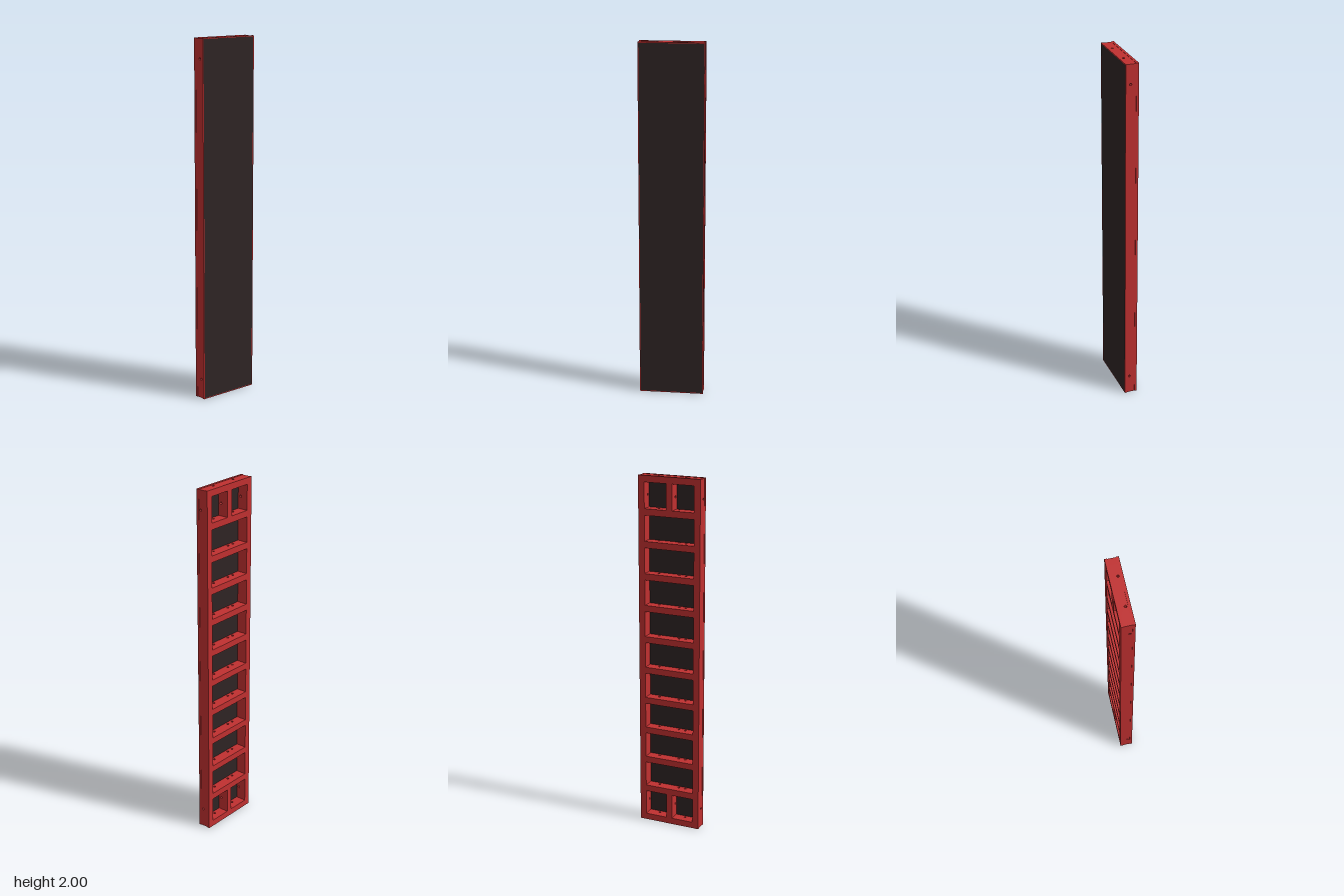
import * as THREE from 'three';

export function createModel() {
  const model = new THREE.Group();
  const red = new THREE.MeshStandardMaterial({ color: 0xc03030 });
  red.name = 'red frame';
  const dark = new THREE.MeshStandardMaterial({ color: 0x2e2424 });
  dark.name = 'dark facing';

  const X = 0.036, Z = 0.181, H = 2;      // half depth, half width, height
  const FACE = 0.025;                     // where the facing sheet begins
  const B = 0.036, LIP = 0.005, G = 0.0015; // bar thickness, lip, groove depth
  const HOLE_X = 0.009, HOLE_R = 0.0065;

  const add = (name, geometry, material = red) => {
    const mesh = new THREE.Mesh(geometry, material);
    mesh.name = name;
    model.add(mesh);
    return mesh;
  };
  const box = (name, x0, x1, y0, y1, z0, z1, material) =>
    add(name, new THREE.BoxGeometry(x1 - x0, y1 - y0, z1 - z0), material)
      .position.set((x0 + x1) / 2, (y0 + y1) / 2, (z0 + z1) / 2);

  // Bar profile across the frame depth, running from a to b, drilled at the given points
  const drilled = (a, b, holes, thickness) => {
    const s = new THREE.Shape();
    s.moveTo(-X, a).lineTo(FACE, a).lineTo(FACE, b).lineTo(-X, b).closePath();
    for (const h of holes) {
      s.holes.push(new THREE.Path().absarc(HOLE_X, h, HOLE_R, 0, Math.PI * 2, true));
    }
    return new THREE.ExtrudeGeometry(s, { depth: thickness, bevelEnabled: false, curveSegments: 10 });
  };
  const upright = (name, y0, y1, z0, z1, holes) =>
    add(name, drilled(y0, y1, holes, z1 - z0)).position.z = z0;
  const crossbar = (name, y0, y1, holes) => {
    const g = drilled(-Z + B, Z - B, holes.map((z) => -z), y1 - y0);
    add(name, g.rotateX(-Math.PI / 2)).position.y = y0;
  };

  // Side rails, drilled near both ends
  const sideHoles = [0.11, H - 0.11];
  upright('frontRail', G, H - G, Z - B, Z - G, sideHoles);
  upright('backRail', G, H - G, -Z + G, -Z + B, sideHoles);

  // End rails and evenly spaced crossbars
  const CELLS = 11, pitch = (H - B) / CELLS;
  for (let i = 0; i <= CELLS; i++) {
    const end = i === 0 || i === CELLS;
    const y0 = i === 0 ? G : i * pitch;
    const y1 = i === CELLS ? H - G : i * pitch + B;
    crossbar(end ? 'endRail' : 'crossbar', y0, y1, end ? [-0.08, 0.08] : [-0.08, 0.04, 0.08]);
  }

  // Short posts dividing the lowest and highest cells
  upright('lowerPost', B, pitch, -B / 2, B / 2, [0.11]);
  upright('upperPost', H - pitch, H - B, -B / 2, B / 2, [H - 0.11]);

  // Raised edges and lips around the outside, leaving a shallow central groove
  for (const [name, x0, x1] of [['openEdge', -X, -0.022], ['facingLip', 0.022, X]]) {
    box(name, x0, x1, 0, H, Z - LIP, Z);
    box(name, x0, x1, 0, H, -Z, -Z + LIP);
    box(name, x0, x1, 0, LIP, -Z + LIP, Z - LIP);
    box(name, x0, x1, H - LIP, H, -Z + LIP, Z - LIP);
  }

  // Facing sheet set inside the lips
  box('facingSheet', FACE, X, LIP, H - LIP, -Z + LIP, Z - LIP, dark);

  return model;
}
